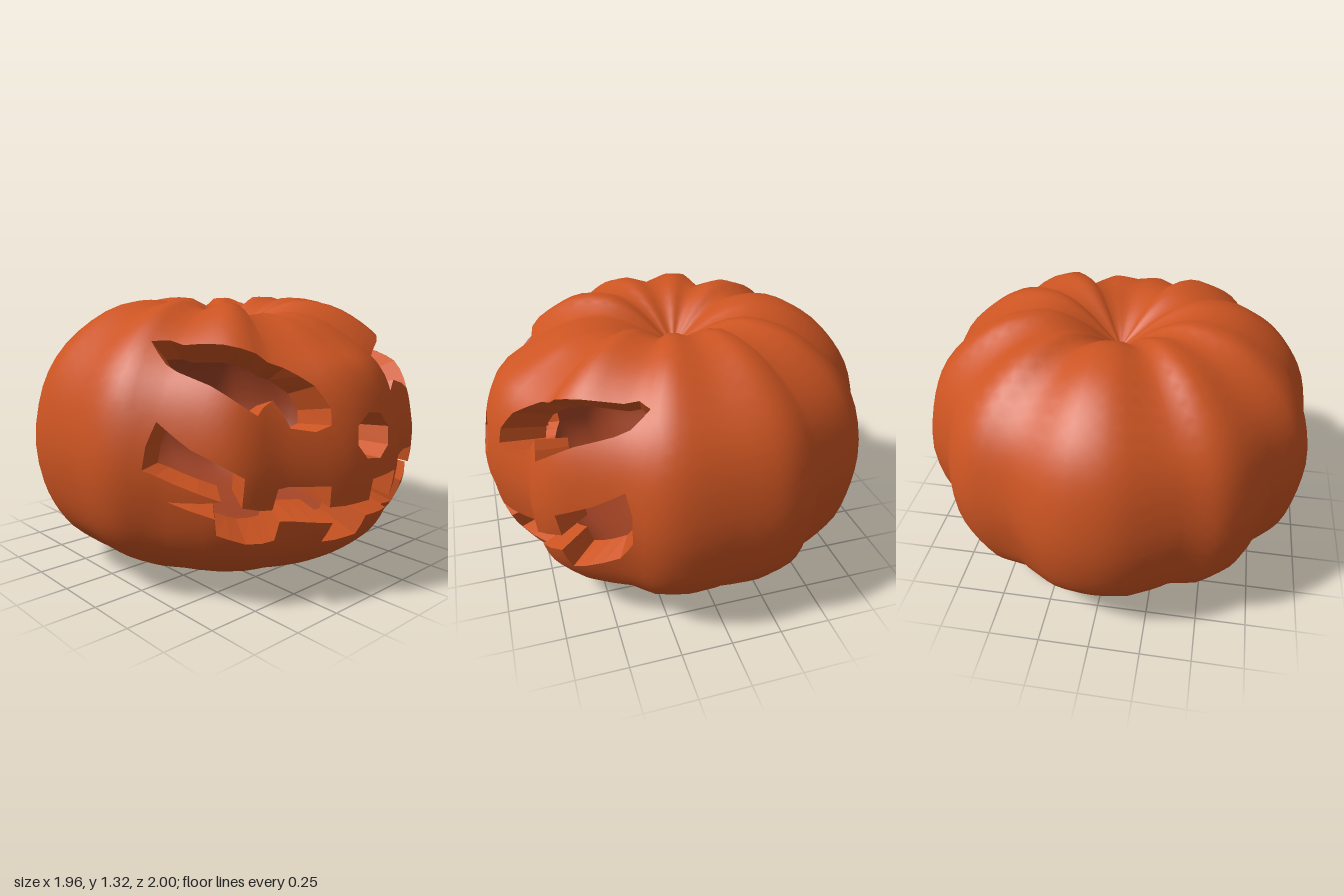
import * as THREE from 'three';

const STEP_U = Math.PI / 16, STEP_V = 0.19, MAX_EDGE = 0.1, MID_Y = 0.65;
const { clamp, smoothstep, degToRad } = THREE.MathUtils;

// Side profile (radius, height) from the underside up and into the dimple on top
const profile = new THREE.SplineCurve([
  [0, 0.02], [0.25, 0], [0.5, 0.035], [0.68, 0.09], [0.82, 0.18], [0.91, 0.28], [0.97, 0.42], [1, 0.62], [0.975, 0.82],
  [0.92, 0.98], [0.83, 1.11], [0.7, 1.22], [0.55, 1.295], [0.36, 1.315], [0.2, 1.25], [0.08, 1.16], [0, 1.1],
].map(([r, y]) => new THREE.Vector2(r, y)));

// Ribs over a quarter turn: angle in degrees and radius, with low values as grooves
const ribAngle = [0, 11.5, 26, 34, 45, 59.5, 68, 78.5, 90];
const ribRadius = [1, 0.99, 0.915, 0.987, 0.99, 0.932, 1, 1, 0.957];

function sample(table, k) {
  const i = Math.min(7, Math.floor(k));
  return table[i] + (table[i + 1] - table[i]) * (k - i);
}

// Point of the outer skin; u runs around (0 = front), v runs up the profile
function skin(u, v) {
  const turn = Math.atan2(Math.sin(u), Math.cos(u));
  const k = Math.abs(turn) / STEP_U, fold = k > 8 ? 16 - k : k;
  let angle = degToRad(sample(ribAngle, fold));
  if (k > 8) angle = Math.PI - angle;
  if (turn < 0) angle = -angle;
  const t = clamp(v / STEP_V / 16, 0, 1);
  const p = profile.getPoint(t), d = profile.getTangent(t);
  const push = (sample(ribRadius, fold) - 1) * Math.min(1, p.x / 0.6) * smoothstep(p.y, 0, 0.45);
  // the front rib crests lower than the others
  const dip = 0.08 * Math.max(0, 1 - k / 2.5) * smoothstep(p.y, 1, 1.25) * Math.min(1, p.x / 0.3);
  const r = p.x + d.y * push;
  return new THREE.Vector3(r * Math.sin(angle), p.y - d.x * push - dip, r * Math.cos(angle));
}

// Smooth normal from wide differences
function skinNormal(u, v) {
  const w = clamp(v, 0.13, 16 * STEP_V - 0.13), e = 0.16, f = 0.11;
  const du = skin(u + e, w).sub(skin(u - e, w));
  return du.cross(skin(u, w + f).sub(skin(u, w - f))).normalize();
}

// Matching point of the inner skin, thickest at the front and back
const inward = (p) => new THREE.Vector3(p.x * 0.86, MID_Y + (p.y - MID_Y) * 0.82, p.z - 0.26 * p.z * Math.abs(p.z));

// Finds the (u, v) whose skin point shows at (x, y) from the front
function locate([x, y]) {
  const q = new THREE.Vector2(x, 7 * STEP_V);
  for (let i = 0; i < 200; i++) {
    const p = skin(q.x, q.y);
    q.set(q.x + (x - p.x) * 0.5, q.y + (y - p.y) * 0.5);
  }
  return q;
}

// Splits a closed outline into short pieces
function densify(points) {
  return points.flatMap((a, i) => {
    const b = points[(i + 1) % points.length];
    const n = Math.ceil(a.distanceTo(b) / MAX_EDGE - 1e-6);
    return Array.from({ length: n }, (_, j) => a.clone().lerp(b, j / n));
  });
}

// Flips shared edges until the triangles are well shaped
function relax(tris, pts) {
  const corner = (a, c, b) => {
    const p = pts[a].clone().sub(pts[c]), q = pts[b].clone().sub(pts[c]);
    return Math.atan2(Math.abs(p.cross(q)), p.dot(q));
  };
  for (let pass = 0, changed = true; changed && pass < 60; pass++) {
    changed = false;
    const edges = new Map(), touched = new Set();
    tris.forEach((t, n) => t.forEach((a, i) => edges.set(a + ',' + t[(i + 1) % 3], [n, t[(i + 2) % 3]])));
    for (const [key, [n, c]] of edges) {
      const [a, b] = key.split(',').map(Number);
      const [m, d] = edges.get(b + ',' + a) ?? [];
      if (m === undefined || touched.has(n) || touched.has(m)) continue;
      if (corner(a, c, b) + corner(a, d, b) <= Math.PI + 1e-6) continue;
      tris[n] = [a, d, c];
      tris[m] = [d, b, c];
      touched.add(n).add(m);
      changed = true;
    }
  }
}

// Halves the longest edge until every edge is short
function subdivide(a, b, c, out) {
  const ab = a.distanceTo(b), bc = b.distanceTo(c), ca = c.distanceTo(a);
  const longest = Math.max(ab, bc, ca);
  if (longest <= MAX_EDGE + 1e-6) { out.push([a, b, c]); return; }
  if (bc === longest) [a, b, c] = [b, c, a];
  else if (ca === longest) [a, b, c] = [c, a, b];
  const m = a.clone().add(b).multiplyScalar(0.5);
  subdivide(a, m, c, out);
  subdivide(m, b, c, out);
}

// Carved openings as seen from the front
const eye = [[-0.7, 1.16], [-0.62, 1.16], [-0.31, 1.05], [-0.25, 0.98], [-0.22, 0.89], [-0.23, 0.82], [-0.29, 0.795],
  [-0.37, 0.81], [-0.39, 0.88], [-0.43, 0.93], [-0.49, 0.91], [-0.53, 0.88], [-0.61, 0.96]];
const nose = Array.from({ length: 8 }, (_, i) => {
  const a = (i + 0.3) * Math.PI / 4;
  return [-0.005 + 0.115 * Math.cos(a), 0.752 + 0.106 * Math.sin(a)];
});
const mouth = [
  [-0.79, 0.84], [-0.74, 0.74], [-0.6, 0.63], [-0.6, 0.5], [-0.46, 0.47], [-0.44, 0.56], [-0.24, 0.56], [-0.23, 0.46],
  [-0.02, 0.46], [-0.02, 0.56], [0.18, 0.56], [0.18, 0.43], [0.39, 0.45], [0.39, 0.53], [0.47, 0.58], [0.54, 0.58],
  [0.54, 0.5], [0.68, 0.57], [0.66, 0.67], [0.75, 0.75], [0.8, 0.83], [0.85, 0.74], [0.86, 0.6], [0.78, 0.46],
  [0.65, 0.35], [0.65, 0.46], [0.51, 0.4], [0.5, 0.28], [0.19, 0.27], [0.2, 0.36], [-0.01, 0.38], [-0.02, 0.28],
  [-0.21, 0.28], [-0.2, 0.38], [-0.4, 0.4], [-0.41, 0.31], [-0.55, 0.32], [-0.66, 0.37], [-0.68, 0.45], [-0.78, 0.5],
  [-0.67, 0.53], [-0.78, 0.59], [-0.86, 0.64], [-0.84, 0.74],
];
const openings = { rightEye: eye, leftEye: eye.map(([x, y]) => [-x, y]), nose, mouth };

function buildGeometry(positions, normals) {
  const g = new THREE.BufferGeometry();
  g.setAttribute('position', new THREE.Float32BufferAttribute(positions, 3));
  if (normals) g.setAttribute('normal', new THREE.Float32BufferAttribute(normals, 3));
  else g.computeVertexNormals();
  return g;
}

export function createModel() {
  const group = new THREE.Group();
  group.name = 'carvedPumpkin';
  const orange = new THREE.MeshStandardMaterial({ color: 0xcc5422 });
  orange.name = 'pumpkinOrange';
  const brown = new THREE.MeshStandardMaterial({ color: 0xa04224 });
  brown.name = 'hollowBrown';
  const add = (name, geometry, material) => {
    const mesh = new THREE.Mesh(geometry, material);
    mesh.name = name;
    group.add(mesh);
  };
  const at = (i, j) => new THREE.Vector2(i * STEP_U, j * STEP_V);

  // Opening outlines, all counter-clockwise seen from outside
  const outlines = {};
  for (const [name, points] of Object.entries(openings)) {
    const line = densify(points.map(locate));
    outlines[name] = THREE.ShapeUtils.isClockWise(line) ? line.reverse() : line;
  }

  // Face panel with the openings left out, then a regular grid for the rest
  const triangles = [];
  const border = densify([at(-7, 4), at(7, 4), at(7, 12), at(-7, 12)]);
  const holes = Object.values(outlines).map((o) => o.slice().reverse());
  const all = [border, ...holes].flat();
  const panel = THREE.ShapeUtils.triangulateShape(border, holes);
  for (const t of panel) if (THREE.ShapeUtils.area(t.map((i) => all[i])) < 0) t.reverse();
  relax(panel, all);
  for (const [i, j, k] of panel) subdivide(all[i], all[j], all[k], triangles);
  for (let i = -16; i < 16; i++) {
    for (let j = 0; j < 16; j++) {
      if (i >= -7 && i < 7 && j >= 4 && j < 12) continue;
      subdivide(at(i, j), at(i + 1, j), at(i + 1, j + 1), triangles);
      subdivide(at(i, j), at(i + 1, j + 1), at(i, j + 1), triangles);
    }
  }

  // Outer skin and the smaller inner skin facing the hollow
  const outer = [], outerN = [], inner = [], innerN = [];
  for (const tri of triangles) {
    const p = tri.map((q) => skin(q.x, q.y)), n = tri.map((q) => skinNormal(q.x, q.y));
    for (const i of [0, 1, 2]) {
      outer.push(...p[i].toArray());
      outerN.push(...n[i].toArray());
    }
    for (const i of [0, 2, 1]) {
      inner.push(...inward(p[i]).toArray());
      innerN.push(...n[i].clone().negate().toArray());
    }
  }
  add('outerSkin', buildGeometry(outer, outerN), orange);
  add('innerSkin', buildGeometry(inner, innerN), brown);

  // Cut walls joining both skins around each opening
  for (const [name, line] of Object.entries(outlines)) {
    const rim = line.map((q) => skin(q.x, q.y)), wall = [];
    rim.forEach((a, i) => {
      const b = rim[(i + 1) % rim.length], c = inward(b), d = inward(a);
      for (const p of [a, b, c, a, c, d]) wall.push(...p.toArray());
    });
    add(name + 'CutWall', buildGeometry(wall), orange);
  }
  return group;
}
